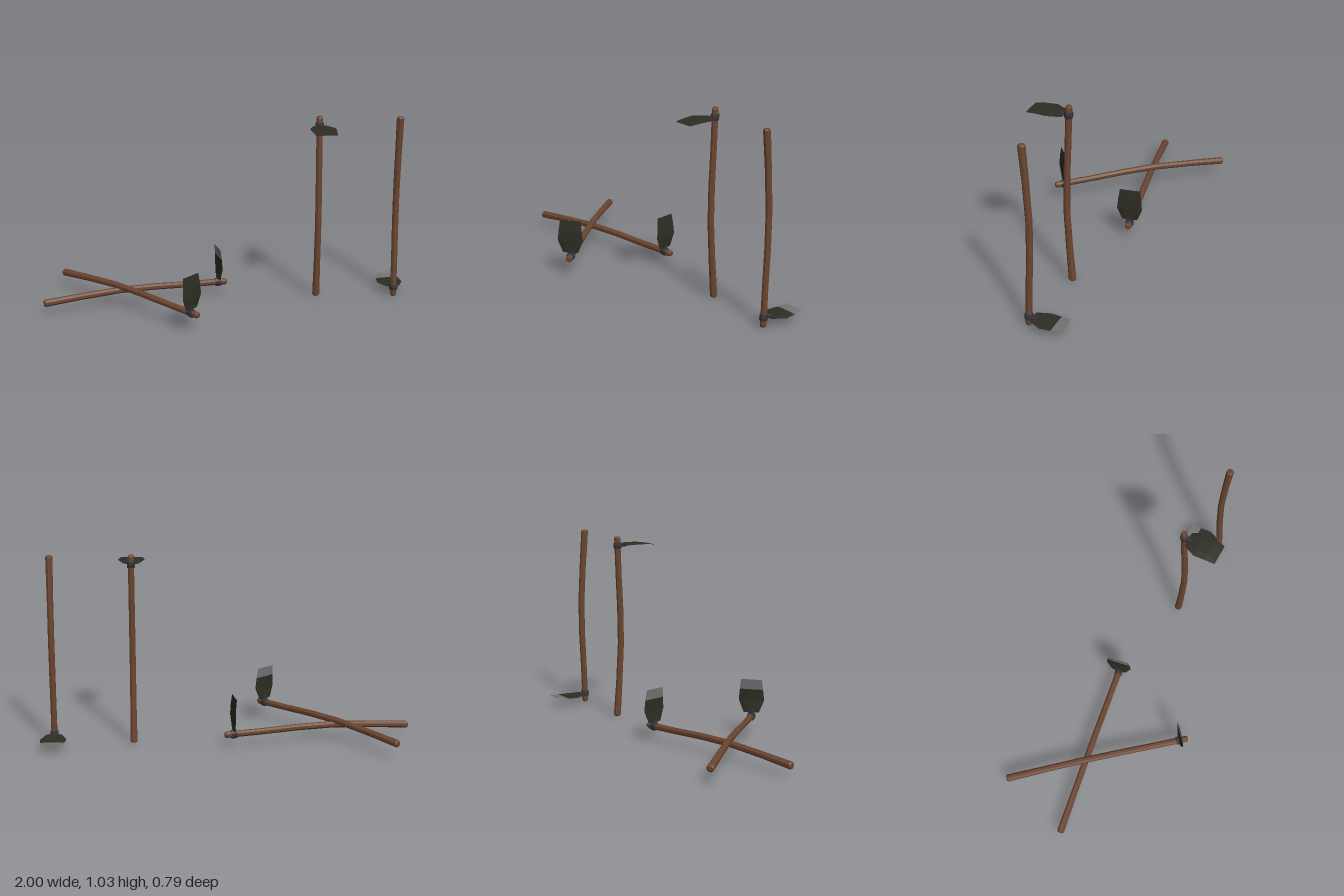
import * as THREE from 'three';

const flat = (name, color) => {
  const m = new THREE.MeshStandardMaterial({ color, flatShading: true });
  m.name = name;
  return m;
};

// Sideways bow of the handle: [distance from butt, offset toward the blade]
const BOW = [[0, 0], [0.2, 0.015], [0.42, 0.027], [0.62, 0.024], [0.82, 0.014], [1.025, 0.007]];
function bow(t) {
  for (let i = 1; i < BOW.length; i++) {
    const [t0, b0] = BOW[i - 1], [t1, b1] = BOW[i];
    if (t <= t1 || i === BOW.length - 1) return b0 + (b1 - b0) * (t - t0) / (t1 - t0);
  }
}

// Eight-sided turned part that follows the bow; profile is [radius, height]
function turned(profile) {
  const g = new THREE.LatheGeometry(profile.map(p => new THREE.Vector2(...p)), 8, Math.PI / 8);
  const p = g.attributes.position;
  for (let i = 0; i < p.count; i++) p.setZ(i, p.getZ(i) + bow(p.getY(i)));
  g.computeVertexNormals();
  return g;
}

// Blade from six-sided sections: [reach, half width, height, half thickness]
function bladeGeometry() {
  const rows = [
    [0.032, 0.042, 0.976, 0.005],
    [0.1, 0.07, 0.981, 0.004],
    [0.16, 0.064, 0.979, 0.003],
    [0.215, 0.057, 0.973, 0.001],
  ];
  const pos = [], body = [], edge = [];
  for (const [z, w, y, h] of rows) {
    pos.push(w, y, z, w / 2, y + h, z, -w / 2, y + h, z, -w, y, z, -w / 2, y - h, z, w / 2, y - h, z);
  }
  const last = rows.length - 1;
  for (let i = 0; i < last; i++) {
    for (let j = 0; j < 6; j++) {
      const k = (j + 1) % 6, a = i * 6 + j, b = i * 6 + k, c = b + 6, d = a + 6;
      // ground cutting edge on the side facing the handle
      (i === last - 1 && j >= 3 ? edge : body).push(a, b, c, a, c, d);
    }
  }
  for (let j = 1; j < 5; j++) {
    body.push(0, j + 1, j);
    edge.push(last * 6, last * 6 + j, last * 6 + j + 1);
  }
  const g = new THREE.BufferGeometry();
  g.setAttribute('position', new THREE.Float32BufferAttribute(pos, 3));
  g.setIndex([...body, ...edge]);
  g.addGroup(0, body.length, 0);
  g.addGroup(body.length, edge.length, 1);
  g.computeVertexNormals();
  return g;
}

export function createModel() {
  const wood = flat('wood', 0x6b4530);
  const iron = flat('darkIron', 0x34343a);
  const blade = flat('bladeIron', 0x2d2d23);
  const steel = flat('sharpenedSteel', 0x747474);

  const handleGeo = turned([
    [0, 0], [0.014, 0], [0.02, 0.006], [0.019, 0.1], [0.018, 0.2], [0.0175, 0.42],
    [0.0175, 0.62], [0.017, 0.82], [0.0175, 1.015], [0.013, 1.025], [0, 1.025],
  ]);
  const collarGeo = turned([
    [0.016, 0.958], [0.021, 0.958], [0.0235, 0.975], [0.022, 0.99], [0.016, 0.99],
  ]);
  // tapered neck joining collar and blade
  const neckGeo = new THREE.CylinderGeometry(0.024, 0.013, 0.03, 6);
  neckGeo.rotateX(Math.PI / 2).scale(1, 0.4, 1).translate(0, 0.975, 0.036);
  const bladeGeo = bladeGeometry();

  const model = new THREE.Group();
  model.name = 'hoes';

  // butt position, direction toward the head, direction the blade points
  const addHoe = (name, butt, along, out) => {
    const y = new THREE.Vector3(...along).normalize();
    const x = y.clone().cross(new THREE.Vector3(...out)).normalize();
    const z = x.clone().cross(y);
    const hoe = new THREE.Group();
    hoe.name = name;
    const parts = [
      ['handle', handleGeo, wood], ['collar', collarGeo, iron],
      ['neck', neckGeo, iron], ['blade', bladeGeo, [blade, steel]],
    ];
    for (const [part, geo, mat] of parts) {
      const mesh = new THREE.Mesh(geo, mat);
      mesh.name = part;
      hoe.add(mesh);
    }
    hoe.quaternion.setFromRotationMatrix(new THREE.Matrix4().makeBasis(x, y, z));
    hoe.position.set(...butt);
    model.add(hoe);
  };

  addHoe('uprightHoe', [0.5, 0.011, -0.052], [0, 1, 0.002], [0, 0, 1]);
  addHoe('invertedHoe', [0.93, 1.028, 0], [0, -1, -0.004], [0, 0, -1]);
  addHoe('lowerLyingHoe', [-0.996, 0.067, 0.02], [1, 0.004, -0.175], [0, 1, 0]);
  addHoe('upperLyingHoe', [-0.88, 0.091, -0.386], [0.665, 0.005, 0.755], [0, 1, 0]);
  return model;
}
